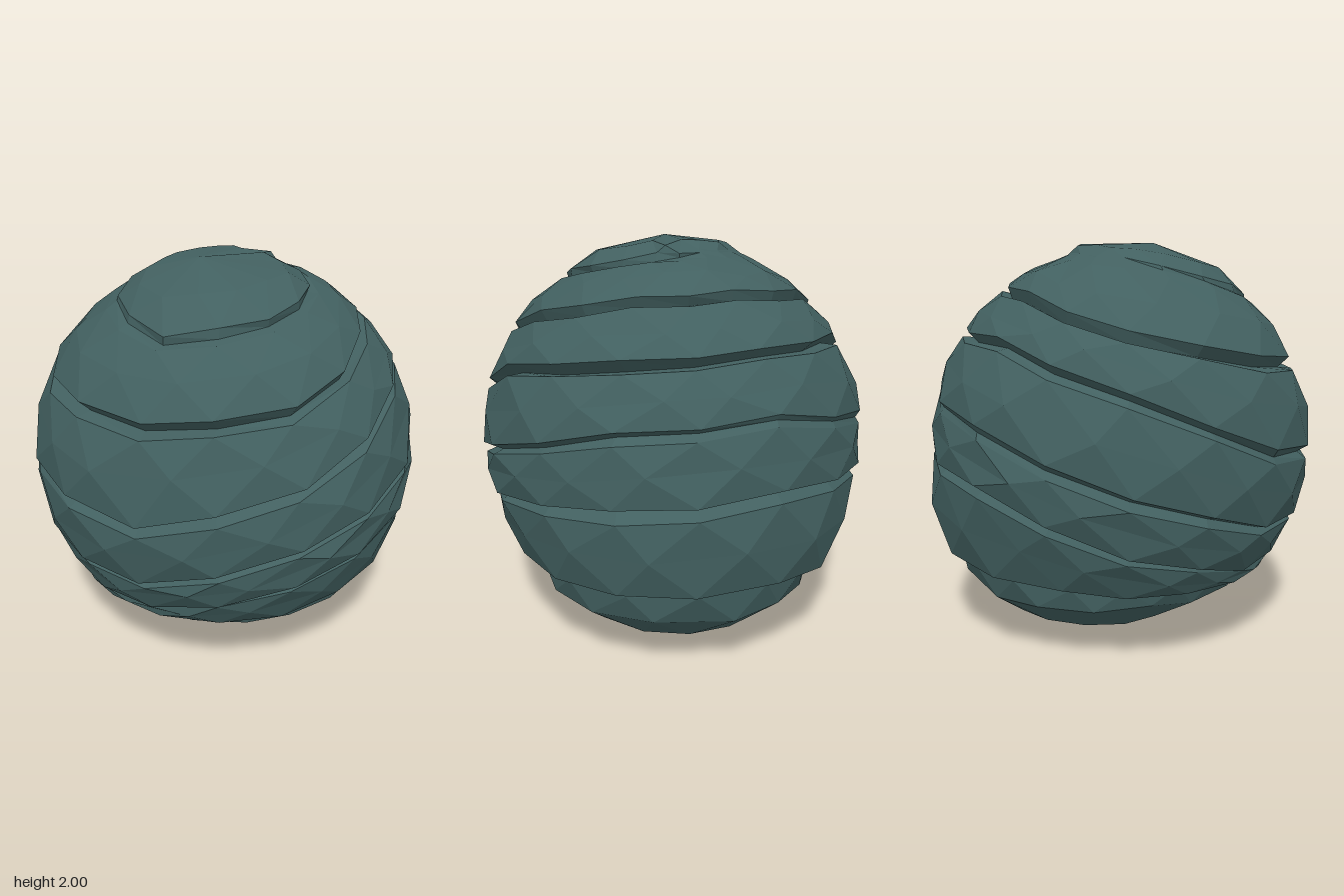
import * as THREE from 'three';

const SEG = 16;
const TURN = Math.PI * 2;

// Seams between the windings, bottom to top. Heights and groove depths are
// given at eight angles: +x, front left, +z, front right, -x, back right, -z, back left.
const seams = [
  { y: [0.50, 0.45, 0.36, 0.36, 0.35, 0.35, 0.42, 0.53], depth: [0.13, 0.11, 0.10, 0.08, 0.05, 0.05, 0.12, 0.15] },
  { y: [0.89, 0.80, 0.62, 0.43, 0.42, 0.57, 0.87, 0.95], depth: [0.07, 0.07, 0.06, 0.02, 0.00, 0.04, 0.07, 0.07] },
  { y: [1.24, 1.04, 0.83, 0.62, 0.64, 0.86, 1.14, 1.29], depth: [0.05, 0.05, 0.09, 0.07, 0.05, 0.05, 0.02, 0.02] },
  { y: [1.53, 1.44, 1.14, 0.94, 1.01, 1.32, 1.55, 1.57], depth: [0.08, 0.08, 0.05, 0.07, 0.03, 0.04, 0.07, 0.06] },
  { y: [1.78, 1.68, 1.48, 1.41, 1.45, 1.57, 1.75, 1.80], depth: [0.05, 0.06, 0.05, 0.08, 0.06, 0.05, 0.06, 0.05] },
  { y: [1.95, 1.89, 1.81, 1.74, 1.83, 1.92, 1.95, 1.96], depth: [0.03, 0.03, 0.03, 0.03, 0.01, 0.00, 0.00, 0.00] },
];

let seed = 7;
function rand() {
  seed = (seed * 16807) % 2147483647;
  return seed / 2147483647 - 0.5;
}

// Read a list of eight values around the circle at angle t
function around(list, t) {
  const u = (((t / TURN) % 1) + 1) % 1 * 8;
  const i = Math.floor(u) % 8;
  return THREE.MathUtils.lerp(list[i], list[(i + 1) % 8], u - Math.floor(u));
}

// The ball swells towards its lower back left
const bulge = new THREE.Vector3(0.45, -0.87, -0.25).normalize();
const swell = (d) => 0.3 * Math.max(0, d.dot(bulge) - 0.5);

// One ring of points; shift is a fraction of a segment
function ring(height, shift, radius, jitter) {
  const pts = [];
  for (let i = 0; i < SEG; i++) {
    const t = ((i + shift + rand() * jitter * 8) / SEG) * TURN;
    const h = height(t) - 1 + rand() * jitter;
    const r = Math.sqrt(Math.max(0.01, 1 - h * h));
    const d = new THREE.Vector3(Math.cos(t) * r, h, Math.sin(t) * r).normalize();
    pts.push(d.clone().multiplyScalar(radius(t) + swell(d) + rand() * jitter * 0.4));
  }
  return { pts, shift };
}

const pole = (x, y, z) => ({ pts: Array(SEG).fill(new THREE.Vector3(x, y, z)), shift: 0 });

// Skin a stack of rings into a faceted strip
function strip(rings) {
  const out = [];
  const tri = (...v) => v.forEach((p) => out.push(p.x, p.y + 1, p.z));
  for (let r = 0; r + 1 < rings.length; r++) {
    const A = rings[r], B = rings[r + 1];
    for (let i = 0; i < SEG; i++) {
      const j = (i + 1) % SEG;
      const a = A.pts[i], b = B.pts[i], a2 = A.pts[j], b2 = B.pts[j];
      if (B.shift > A.shift) {
        tri(a, b, a2);
        tri(b, b2, a2);
      } else {
        tri(a, b, b2);
        tri(a, b2, a2);
      }
    }
  }
  const g = new THREE.BufferGeometry();
  g.setAttribute('position', new THREE.Float32BufferAttribute(out, 3));
  g.computeVertexNormals();
  return g;
}

export function createModel() {
  const model = new THREE.Group();
  model.name = 'woundBall';
  const teal = new THREE.MeshStandardMaterial({ color: 0x426060, flatShading: true });
  teal.name = 'dark teal';

  // Groove floor rings shared by neighbouring windings
  const floors = seams.map((s) => ring((t) => around(s.y, t), 0, (t) => 0.98 - around(s.depth, t), 0));
  const n = seams.length;

  for (let k = 0; k <= n; k++) {
    const low = (t) => (k > 0 ? around(seams[k - 1].y, t) : 0);
    const high = (t) => (k < n ? around(seams[k].y, t) : 2);
    const between = (f) => (t) => THREE.MathUtils.lerp(low(t), high(t), f);
    const rings = [];
    if (k > 0) {
      // overhanging lower lip
      rings.push(floors[k - 1]);
      rings.push(ring(between(0.07), 0, () => 0.985, 0.012));
    } else {
      // shallow pointed underside
      rings.push(pole(0.03, -1, -0.06));
      rings.push(ring(between(0.33), 0, () => 0.92, 0.02));
    }
    // faceted belly of the winding
    const belly = k === 0 ? 0.955 : k === n ? 1.01 : 0.985;
    rings.push(ring(between(k === 0 ? 0.68 : 0.5), 0.5, () => belly, 0.03));
    if (k < n) {
      // upper edge turning into the groove
      rings.push(ring(between(0.9), 0, () => (k === 0 ? 0.91 : 0.975), 0.012));
      rings.push(floors[k]);
    } else {
      rings.push(pole(-0.15, 1, 0.08));
    }
    const band = new THREE.Mesh(strip(rings), teal);
    band.name = k === 0 ? 'bottomCap' : k === n ? 'topCap' : 'winding' + k;
    model.add(band);
  }
  return model;
}
